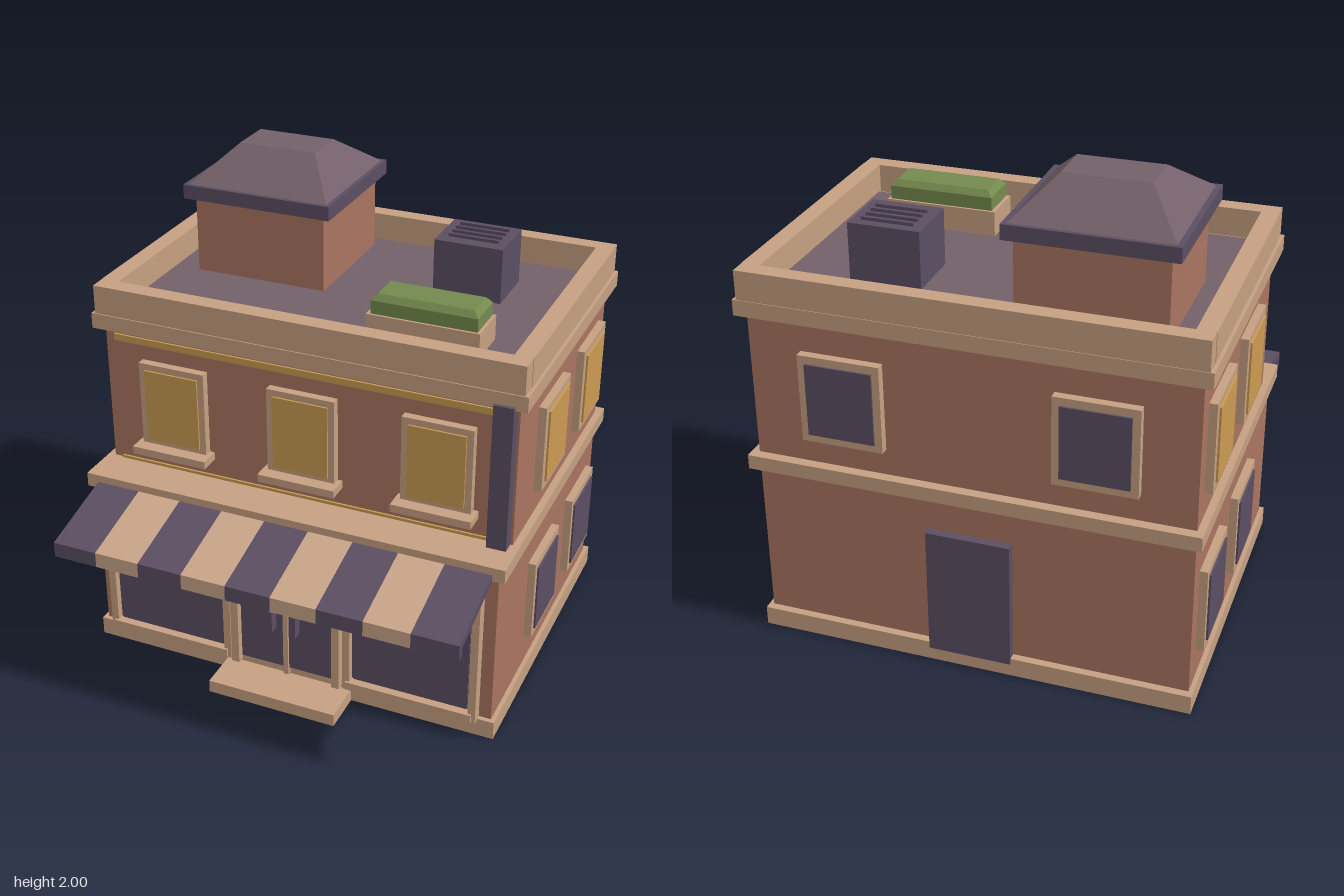
import * as THREE from 'three';

const mat = (name, color) => new THREE.MeshStandardMaterial({ name, color });

export function createModel() {
  const brick = mat('brick', 0xa97461), trim = mat('trim', 0xc6a081), gold = mat('lit window gold', 0xca9b52);
  const dark = mat('dark purple', 0x5b4e62), roofing = mat('roofing', 0x74606a), green = mat('hedge green', 0x748a4e);
  const cream = mat('awning cream', 0xcaa589);
  const model = new THREE.Group();
  model.name = 'shopBuilding';

  const add = (name, geometry, material, parent = model) => {
    const mesh = new THREE.Mesh(geometry, material);
    mesh.name = name;
    parent.add(mesh);
    return mesh;
  };
  // Box given by its limits on each axis
  const box = (name, material, x0, x1, y0, y1, z0, z1, parent = model) => {
    const mesh = add(name, new THREE.BoxGeometry(x1 - x0, y1 - y0, z1 - z0), material, parent);
    mesh.position.set((x0 + x1) / 2, (y0 + y1) / 2, (z0 + z1) / 2);
    return mesh;
  };
  // Box whose top face is pulled in to a smaller rectangle
  const taperedBox = (name, material, [x0, x1, z0, z1], [tx0, tx1, tz0, tz1], y0, y1) => {
    const g = new THREE.BoxGeometry(1, 1, 1), p = g.attributes.position;
    for (let i = 0; i < p.count; i++) {
      const top = p.getY(i) > 0, right = p.getX(i) > 0, front = p.getZ(i) > 0;
      p.setXYZ(i, top ? (right ? tx1 : tx0) : (right ? x1 : x0), top ? y1 : y0,
        top ? (front ? tz1 : tz0) : (front ? z1 : z0));
    }
    g.computeVertexNormals();
    return add(name, g, material);
  };

  // Main masses
  box('baseSlab', trim, -0.893, 0.893, 0, 0.08, -0.865, 0.52);
  box('doorStep', trim, -0.28, 0.28, 0, 0.055, 0.51, 0.70);
  box('groundFloorWall', brick, -0.875, 0.875, 0.08, 0.75, -0.833, 0.50);
  box('beltCourse', trim, -0.905, 0.905, 0.75, 0.81, -0.875, 0.525);
  box('upperFloorWall', brick, -0.875, 0.875, 0.81, 1.41, -0.833, 0.345);
  box('cornice', trim, -0.913, 0.913, 1.41, 1.475, -0.868, 0.385);
  box('roofDeck', roofing, -0.825, 0.825, 1.474, 1.482, -0.785, 0.285);

  // Parapet
  box('frontParapet', trim, -0.898, 0.898, 1.475, 1.595, 0.305, 0.38);
  box('backParapet', trim, -0.898, 0.898, 1.475, 1.595, -0.865, -0.795);
  for (const s of [-1, 1]) {
    const x = s * 0.863;
    box('sideParapet', trim, x - 0.037, x + 0.037, 1.475, 1.595, -0.795, 0.305);
  }

  // Roof tower
  box('towerWall', brick, -0.715, -0.14, 1.48, 1.805, -0.715, -0.165);
  box('towerEave', dark, -0.755, -0.102, 1.805, 1.865, -0.747, -0.132);
  taperedBox('towerRoof', roofing, [-0.733, -0.12, -0.73, -0.15], [-0.595, -0.257, -0.538, -0.346], 1.865, 2);

  // Ventilation unit
  box('ventUnit', dark, 0.275, 0.565, 1.48, 1.715, -0.578, -0.333);
  for (let i = 0; i < 4; i++) {
    const z = -0.53 + i * 0.045;
    box('ventSlat', dark, 0.316, 0.527, 1.715, 1.728, z - 0.007, z + 0.007);
  }

  // Planter with hedge
  box('planterBox', trim, 0.187, 0.65, 1.48, 1.585, -0.015, 0.175);
  box('hedge', green, 0.203, 0.637, 1.585, 1.64, -0.005, 0.165);
  taperedBox('hedgeTop', green, [0.203, 0.637, -0.005, 0.165], [0.225, 0.615, 0.015, 0.145], 1.64, 1.665);

  // Framed window, built facing +z and then turned to its wall
  const windowUnit = (name, glass, w, h, gw, gh, x, y, z, turn, sill) => {
    const g = new THREE.Group();
    g.name = name;
    box('windowFrame', trim, -w / 2, w / 2, -h / 2, h / 2, -0.01, 0.035, g);
    box('windowGlass', glass, -gw / 2, gw / 2, -gh / 2, gh / 2, 0.035, 0.043, g);
    if (sill) box('windowSill', trim, -0.165, 0.165, -h / 2 - 0.025, -h / 2 + 0.008, -0.01, 0.09, g);
    g.position.set(x, y, z);
    g.rotation.y = turn;
    model.add(g);
  };
  for (const x of [-0.567, 0, 0.567])
    windowUnit('frontWindow', gold, 0.29, 0.37, 0.236, 0.315, x, 1.105, 0.345, 0, true);
  for (const s of [-1, 1]) {
    for (const z of [-0.06, -0.585]) {
      windowUnit('upperSideWindow', gold, 0.325, 0.37, 0.255, 0.31, s * 0.872, 1.105, z, s * Math.PI / 2);
      windowUnit('lowerSideWindow', dark, 0.325, 0.36, 0.27, 0.297, s * 0.872, 0.397, z, s * Math.PI / 2);
    }
    windowUnit('backWindow', dark, 0.33, 0.365, 0.27, 0.3, s * 0.498, 1.103, -0.833, Math.PI);
  }
  box('backDoor', dark, -0.168, 0.172, 0.055, 0.6, -0.87, -0.82);

  // Upper facade bands and downpipe
  box('upperGoldBand', gold, -0.835, 0.835, 1.357, 1.385, 0.34, 0.354);
  box('lowerGoldBand', gold, -0.835, 0.835, 0.805, 0.822, 0.34, 0.354);
  box('downpipe', dark, 0.785, 0.865, 0.81, 1.425, 0.34, 0.40);

  // Shop windows
  for (const s of [-1, 1]) {
    const g = new THREE.Group();
    g.name = 'shopWindow';
    box('shopGlass', dark, -0.255, 0.255, 0.09, 0.67, -0.01, 0.02, g);
    box('shopPanel', dark, -0.243, 0.243, 0.12, 0.65, 0.02, 0.028, g);
    for (const e of [-1, 1])
      box('shopPost', trim, e * 0.27 - 0.016, e * 0.27 + 0.016, 0.075, 0.69, -0.01, 0.05, g);
    box('shopHeader', trim, -0.286, 0.286, 0.655, 0.69, -0.01, 0.05, g);
    box('shopSill', trim, -0.27, 0.27, 0.082, 0.118, -0.01, 0.06, g);
    g.position.set(s * 0.538, 0, 0.5);
    model.add(g);
  }

  // Double door
  box('doorSurround', trim, -0.21, 0.21, 0.07, 0.69, 0.49, 0.53);
  for (const s of [-1, 1]) {
    const post = s * 0.226, leaf = s * 0.108, grip = s * 0.052;
    box('doorPost', trim, post - 0.017, post + 0.017, 0.075, 0.69, 0.49, 0.5625);
    box('doorLeaf', dark, leaf - 0.097, leaf + 0.097, 0.1, 0.65, 0.53, 0.54);
    box('doorHandle', dark, grip - 0.008, grip + 0.008, 0.287, 0.385, 0.54, 0.582);
  }
  box('doorHeader', trim, -0.243, 0.243, 0.65, 0.69, 0.49, 0.5625);
  box('doorMullion', trim, -0.011, 0.011, 0.07, 0.65, 0.53, 0.55);

  // Striped awning: one sloped profile with a hanging valance, swept along x
  const profile = new THREE.Shape([[0.5, 0.752], [0.848, 0.662], [0.848, 0.625], [0.877, 0.625],
    [0.877, 0.69], [0.5, 0.784]].map(([z, y]) => new THREE.Vector2(z, y)));
  const stripe = 1.71 / 9;
  for (let i = 0; i < 9; i++) {
    const g = new THREE.ExtrudeGeometry(profile, { depth: stripe, bevelEnabled: false });
    g.rotateY(-Math.PI / 2);
    add('awningStripe', g, i % 2 ? cream : dark).position.x = -0.855 + (i + 1) * stripe;
  }
  return model;
}
